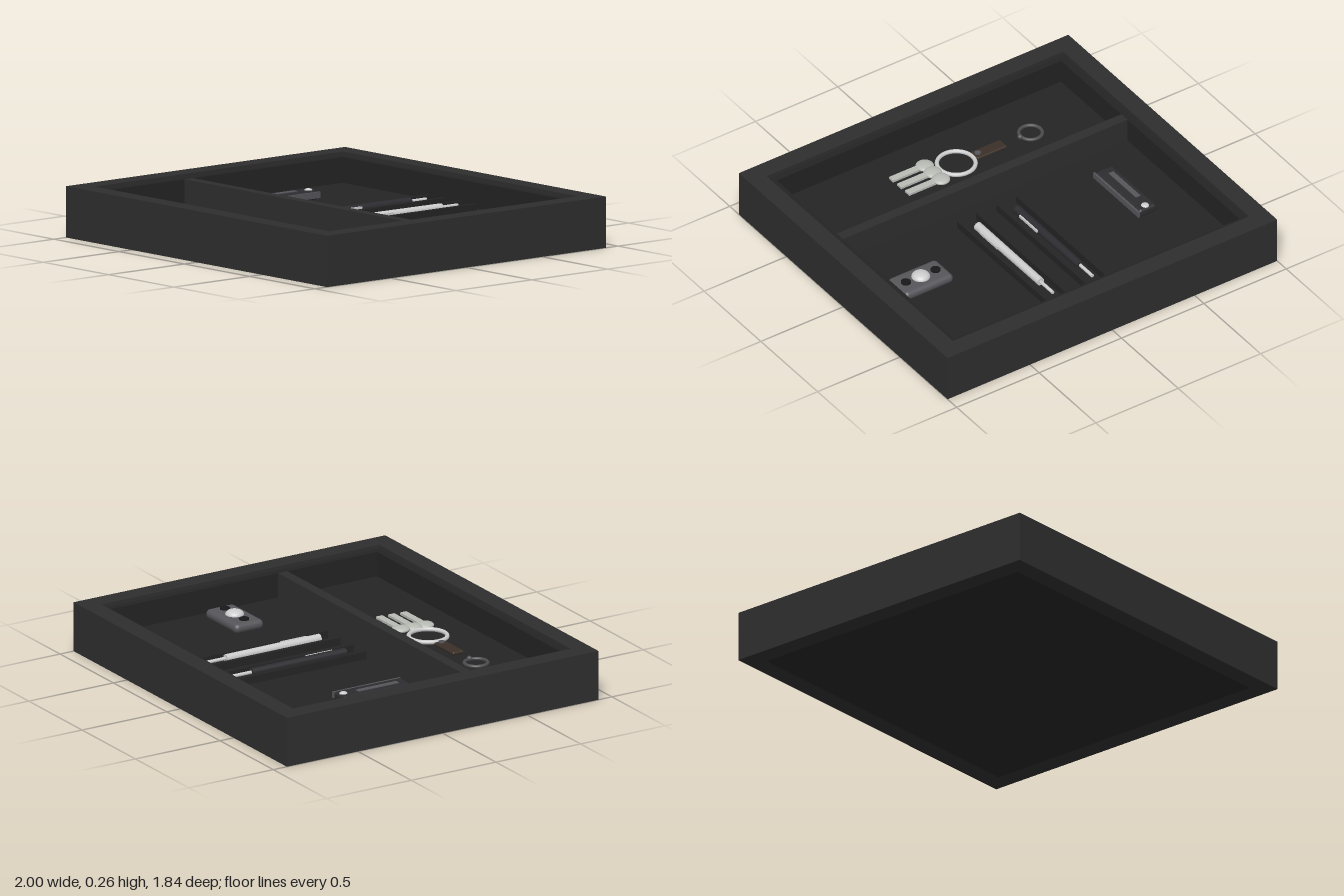
import * as THREE from 'three';
import { RoundedBoxGeometry } from 'three/addons/geometries/RoundedBoxGeometry.js';

const FLOOR = 0.11;
const mat = (color) => new THREE.MeshStandardMaterial({ color });
const M = {
  frame: mat(0x2e2e2f), lining: mat(0x232324), floor: mat(0x242424), dark: mat(0x2c2c30),
  black: mat(0x18181a), gunmetal: mat(0x55555a), steel: mat(0xcccccc), key: mat(0xb8bab4),
  leather: mat(0x3a3028), iron: mat(0x4c4c4e),
};

function add(parent, name, geometry, material, x = 0, y = 0, z = 0) {
  const mesh = new THREE.Mesh(geometry, material);
  mesh.name = name;
  mesh.position.set(x, y, z);
  parent.add(mesh);
  return mesh;
}

function section(parent, name, x = 0, y = 0, z = 0) {
  const g = new THREE.Group();
  g.name = name;
  g.position.set(x, y, z);
  parent.add(g);
  return g;
}

const box = (w, h, d) => new THREE.BoxGeometry(w, h, d);
const rounded = (w, h, d, r) => new RoundedBoxGeometry(w, h, d, 3, r);
const ball = (r) => new THREE.SphereGeometry(r, 24, 16);
const disc = (r, h) => new THREE.CylinderGeometry(r, r, h, 24);
const flatRing = (r, tube) => new THREE.TorusGeometry(r, tube, 12, 48).rotateX(Math.PI / 2);

function rectPath(path, w, d) {
  path.moveTo(-w / 2, -d / 2);
  path.lineTo(w / 2, -d / 2);
  path.lineTo(w / 2, d / 2);
  path.lineTo(-w / 2, d / 2);
  path.closePath();
  return path;
}

// Upright rectangular wall: outer size, inner opening, height
function wall(w, d, iw, id, h) {
  const shape = rectPath(new THREE.Shape(), w, d);
  shape.holes.push(rectPath(new THREE.Path(), iw, id));
  return new THREE.ExtrudeGeometry(shape, { depth: h, bevelEnabled: false }).rotateX(-Math.PI / 2);
}

// Pen lying along z with its tip to the back and a pocket clip
function addPen(parent, name, x, material) {
  const pen = section(parent, name, x, FLOOR + 0.032, 0);
  add(pen, 'barrel', new THREE.CylinderGeometry(0.023, 0.021, 0.555, 20).rotateX(Math.PI / 2), material, 0, 0, -0.265);
  add(pen, 'tip', new THREE.CylinderGeometry(0.009, 0.009, 0.11, 16).rotateX(Math.PI / 2), M.steel, 0, 0, -0.595);
  add(pen, 'clip', box(0.008, 0.014, 0.155), M.steel, 0.027, 0.008, -0.125);
}

export function createModel() {
  const model = new THREE.Group();
  model.name = 'organizerTray';

  // Tray
  const tray = section(model, 'tray');
  add(tray, 'frame', wall(2, 1.84, 1.8, 1.64, 0.26), M.frame);
  add(tray, 'floor', box(1.8, FLOOR, 1.64), M.floor, 0, FLOOR / 2, 0);
  add(tray, 'lining', wall(1.8, 1.64, 1.725, 1.57, 0.13), M.lining, 0, FLOOR, 0);
  add(tray, 'divider', box(1.725, 0.13, 0.055), M.frame, 0, FLOOR + 0.065, 0.228);

  // Pen rails and pens
  for (const x of [-0.125, -0.005, 0.118, 0.235]) {
    add(tray, 'penRail', box(0.02, 0.04, 0.815), M.floor, x, FLOOR + 0.02, -0.312);
  }
  addPen(model, 'darkPen', -0.065, M.dark);
  addPen(model, 'silverPen', 0.175, M.steel);

  // Folding knife
  const knife = section(model, 'foldingKnife', -0.603, FLOOR, -0.165);
  add(knife, 'handle', rounded(0.105, 0.045, 0.395, 0.015), M.dark, 0, 0.0225, 0);
  add(knife, 'inlay', box(0.028, 0.006, 0.24), M.gunmetal, -0.008, 0.046, 0.025);
  add(knife, 'pivot', ball(0.021), M.steel, 0.002, 0.044, -0.17).scale.y = 0.5;
  add(knife, 'clip', box(0.01, 0.032, 0.4), M.gunmetal, 0.057, 0.025, 0);

  // Small device with a domed centre and two buttons
  const device = section(model, 'domedDevice', 0.657, FLOOR, -0.185);
  add(device, 'body', rounded(0.295, 0.05, 0.17, 0.024), M.gunmetal, 0, 0.025, 0);
  add(device, 'dome', ball(0.048), M.steel, 0, 0.05, 0).scale.y = 0.55;
  for (const s of [-1, 1]) add(device, 'button', disc(0.025, 0.012), M.black, s * 0.09, 0.052, 0);

  // Small loose ring
  const loose = section(model, 'smallRing', -0.493, FLOOR + 0.01, 0.517);
  add(loose, 'band', flatRing(0.059, 0.009), M.iron);
  add(loose, 'bead', ball(0.014), M.iron, 0.064, 0.002, 0);

  // Key ring with leather tag and three keys
  const keys = section(model, 'keyRing', 0, FLOOR, 0.517);
  add(keys, 'ring', flatRing(0.097, 0.011), M.steel, -0.042, 0.014, 0);
  add(keys, 'tag', rounded(0.18, 0.018, 0.066, 0.008), M.leather, -0.24, 0.01, 0);
  add(keys, 'rivet', disc(0.016, 0.01), M.gunmetal, -0.172, 0.021, 0);
  for (let i = -1; i <= 1; i++) {
    const key = section(keys, 'key', 0.1, 0.018 - i * 0.003, i * 0.071);
    add(key, 'bow', ball(0.047), M.key).scale.y = 0.35;
    add(key, 'blade', box(0.19, 0.012, 0.038), M.key, 0.11, 0, 0);
  }

  return model;
}
